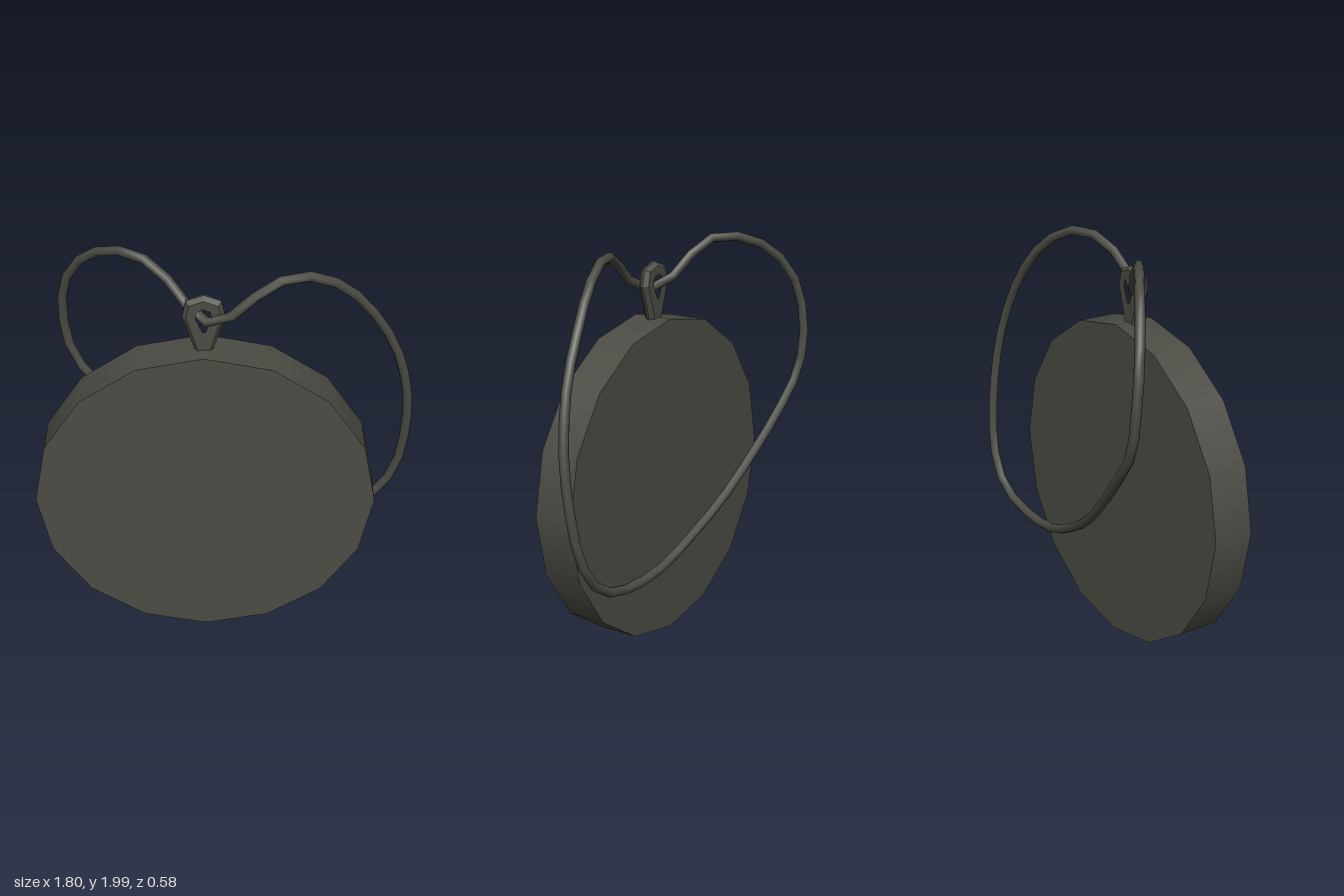
import * as THREE from 'three';

const CX = -0.095; // shared centre line of disc and eyelet

export function createModel() {
  const model = new THREE.Group();
  model.name = 'medallion';
  const metal = new THREE.MeshStandardMaterial({ color: 0x4c4c45 });
  metal.name = 'dark metal';
  const add = (name, geometry) => {
    const mesh = new THREE.Mesh(geometry, metal);
    mesh.name = name;
    model.add(mesh);
    return mesh;
  };

  // Sixteen-sided disc
  const disc = add('disc', new THREE.CylinderGeometry(0.805, 0.805, 0.2, 16).rotateX(Math.PI / 2));
  disc.position.set(CX, 0.805, 0.19);

  // Bevelled eyelet, mirrored about its centre line
  const mirrored = (half) => [
    ...half.map(([x, y]) => new THREE.Vector2(x, y)),
    ...half.filter(([x]) => x > 0).reverse().map(([x, y]) => new THREE.Vector2(-x, y)),
  ];
  const outline = new THREE.Shape(mirrored([[0, 1.88], [0.08, 1.85], [0.096, 1.77], [0.036, 1.58]]));
  outline.holes.push(new THREE.Path(mirrored([[0, 1.838], [0.046, 1.818], [0.054, 1.77], [0.018, 1.685]])));
  const eyelet = add('eyelet', new THREE.ExtrudeGeometry(outline, {
    depth: 0.012, bevelThickness: 0.022, bevelSize: 0.017, bevelOffset: -0.017, bevelSegments: 1,
  }));
  eyelet.position.set(CX, 0, 0.182);

  // Closed cord threaded through the eyelet and hanging behind the disc
  const path = [
    // right side, down
    [-0.08, 1.745, 0.2], [0, 1.78, 0.24], [0.08, 1.85, 0.238], [0.18, 1.925, 0.215],
    [0.28, 1.957, 0.18], [0.4, 1.943, 0.142], [0.55, 1.85, 0.092], [0.69, 1.68, 0.05],
    [0.78, 1.52, 0.03], [0.835, 1.36, 0.01], [0.87, 1.17, -0.01], [0.873, 1, -0.03],
    [0.855, 0.8, -0.05], [0.81, 0.66, -0.062], [0.74, 0.56, -0.068], [0.62, 0.485, -0.066],
    // behind the disc
    [0.4, 0.45, -0.064], [0.2, 0.48, -0.077], [0, 0.575, -0.103], [-0.2, 0.7, -0.14],
    [-0.4, 0.88, -0.185], [-0.6, 1.09, -0.23], [-0.73, 1.26, -0.255],
    // left side, up and back to the eyelet
    [-0.77, 1.42, -0.265], [-0.77, 1.6, -0.25], [-0.725, 1.76, -0.215], [-0.63, 1.885, -0.15],
    [-0.52, 1.95, -0.08], [-0.4, 1.976, 0.005], [-0.3, 1.935, 0.06], [-0.22, 1.855, 0.1],
    [-0.16, 1.785, 0.14],
  ].map((p) => new THREE.Vector3(...p));
  const curve = new THREE.CatmullRomCurve3(path, true);
  add('cord', new THREE.TubeGeometry(curve, 40, 0.023, 8, true));

  return model;
}
